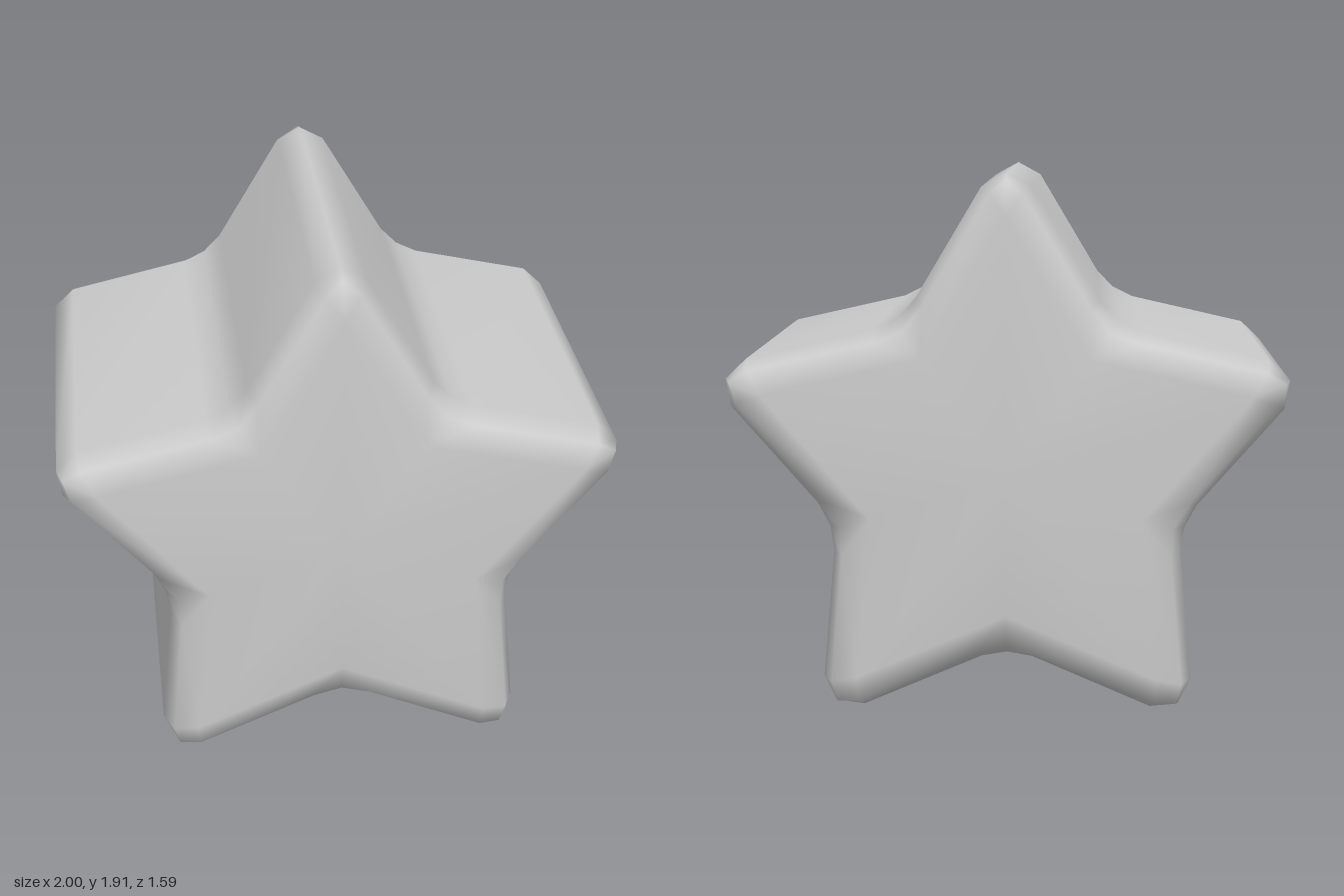
import * as THREE from 'three';
import { mergeVertices } from 'three/addons/utils/BufferGeometryUtils.js';

const CENTRE_Y = 0.8655;

// Cross-sections from the middle of the wall to the face: depth of corner centre / shoulders,
// then [sideways offset, radius] of the corner's shoulder and centre, for tips and notches.
const SECTIONS = [
  { zTip: 0.67, zSide: 0.67, tip: [0.09, 1.0015, 1.05], notch: [0.09, 0.6805, 0.665] },
  { zTip: 0.74, zSide: 0.758, tip: [0.06, 0.98, 1.03], notch: [0.104, 0.647, 0.62] },
  { zTip: 0.795, zSide: 0.795, tip: [0, 0.905, 0.905], notch: [0, 0.505, 0.505] },
];

// One closed outline of 30 points: three at each tip and each notch.
function starRing(section, side) {
  const ring = [];
  for (let i = 0; i < 10; i++) {
    const isTip = i % 2 === 0;
    const [offset, shoulder, centre] = isTip ? section.tip : section.notch;
    const a = Math.PI / 2 + (i * Math.PI) / 5;
    for (const s of [-1, 0, 1]) {
      const r = s ? shoulder : centre;
      const t = s * offset;
      const z = s || !isTip ? section.zSide : section.zTip;
      ring.push([
        r * Math.cos(a) - t * Math.sin(a),
        CENTRE_Y + r * Math.sin(a) + t * Math.cos(a),
        side * z,
      ]);
    }
  }
  return ring;
}

function starGeometry() {
  // Rings run from the back face to the front face.
  const rings = [
    ...[...SECTIONS].reverse().map((s) => starRing(s, -1)),
    ...SECTIONS.map((s) => starRing(s, 1)),
  ];
  const n = rings[0].length;
  const points = rings.flat();
  const back = points.push([0, CENTRE_Y, -0.795]) - 1;
  const front = points.push([0, CENTRE_Y, 0.795]) - 1;
  const last = (rings.length - 1) * n;
  const index = [];
  for (let i = 0; i < n; i++) {
    const j = (i + 1) % n;
    // Walls and rounded rims
    for (let k = 0; k < last; k += n) {
      index.push(k + i, k + j, k + n + j, k + i, k + n + j, k + n + i);
    }
    // Flat faces
    index.push(back, j, i, front, last + i, last + j);
  }
  let geometry = new THREE.BufferGeometry();
  geometry.setAttribute('position', new THREE.Float32BufferAttribute(points.flat(), 3));
  geometry.setIndex(index);
  geometry = mergeVertices(geometry, 1e-4);

  // Drop triangles collapsed where a corner meets the face in a single point
  const merged = geometry.index.array;
  const kept = [];
  for (let i = 0; i < merged.length; i += 3) {
    const [a, b, c] = merged.slice(i, i + 3);
    if (a !== b && b !== c && c !== a) kept.push(a, b, c);
  }
  geometry.setIndex(kept);
  geometry.computeVertexNormals();
  return geometry;
}

export function createModel() {
  const group = new THREE.Group();
  group.name = 'star';
  const body = new THREE.Mesh(
    starGeometry(),
    new THREE.MeshStandardMaterial({ color: 0xcccccc })
  );
  body.name = 'starBody';
  group.add(body);
  return group;
}
